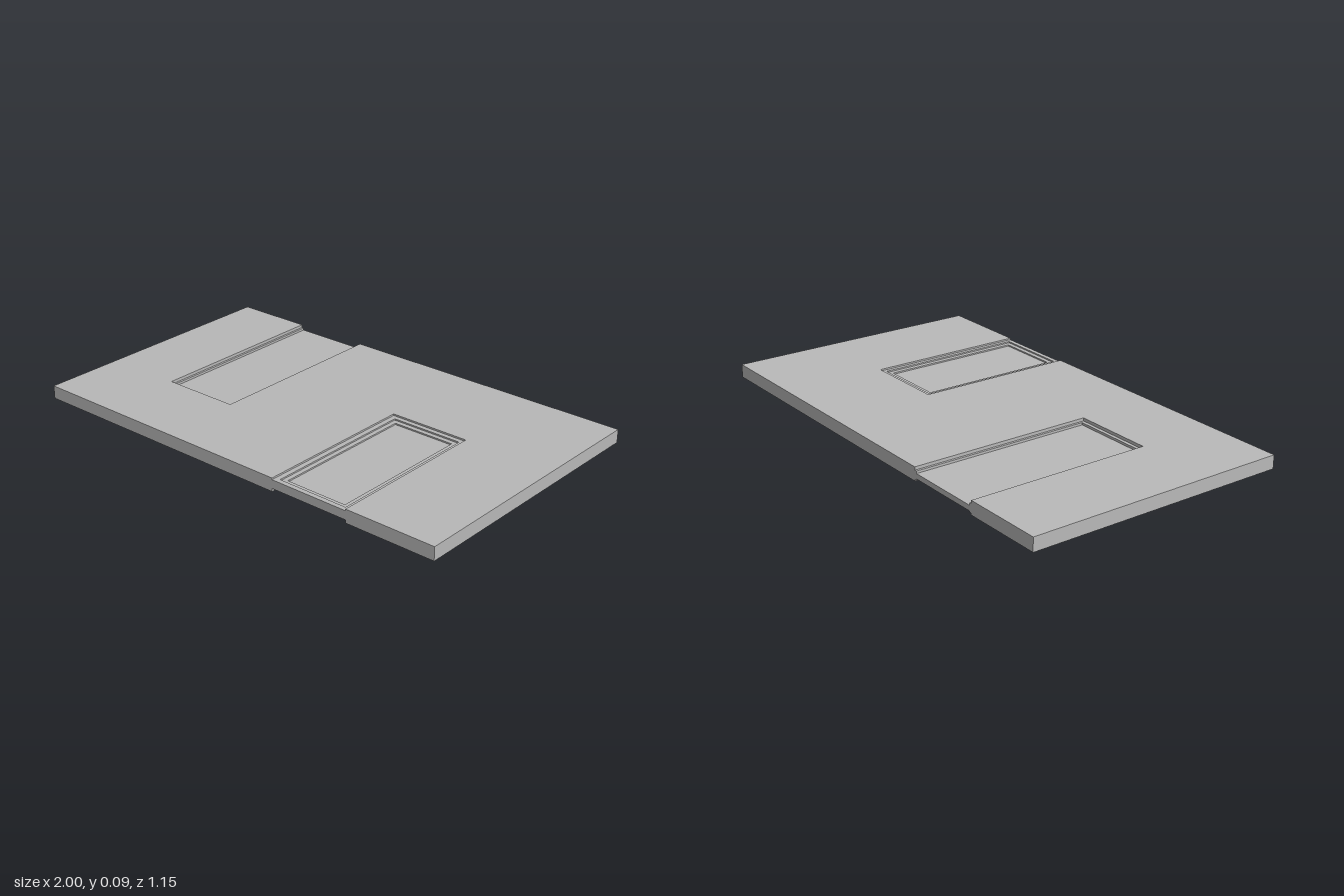
import * as THREE from 'three';

const THICK = 0.057, SLOPE = 0.019, DEPTH = 0.575;

// Nested recesses: [x0, x1, z0, z1, inset from the top, inset from the bottom]
const recesses = {
  frontPanel: [
    [0.25, 0.605, -0.125, DEPTH, 0.007, 0.013],
    [0.272, 0.588, -0.105, 0.555, 0.013, 0.018],
    [0.292, 0.568, -0.085, 0.535, 0.019, 0.024],
  ],
  backPanel: [
    [-0.655, -0.31, -DEPTH, 0.23, 0.013, 0.007],
    [-0.645, -0.32, -DEPTH, 0.215, 0.023, 0.012],
  ],
};

const unique = (values) => [...new Set(values)].sort((a, b) => a - b);

export function createModel() {
  const group = new THREE.Group();
  const grey = new THREE.MeshStandardMaterial({ color: 0xb8b8b8 });
  grey.name = 'plain grey';

  const rects = Object.values(recesses).flat();
  const xs = unique([-1, 1, ...rects.flatMap((r) => [r[0], r[1]])]);
  const zs = unique([-DEPTH, DEPTH, ...rects.flatMap((r) => [r[2], r[3]])]);

  // Part name and levels of one grid cell
  const cellAt = (i, k) => {
    if (i < 0 || k < 0 || i >= xs.length - 1 || k >= zs.length - 1) return null;
    const x = (xs[i] + xs[i + 1]) / 2, z = (zs[k] + zs[k + 1]) / 2;
    const cell = { part: 'slab', top: THICK, bottom: 0 };
    for (const [part, list] of Object.entries(recesses)) {
      for (const [x0, x1, z0, z1, t, b] of list) {
        if (x > x0 && x < x1 && z > z0 && z < z1) {
          Object.assign(cell, { part, top: THICK - t, bottom: b });
        }
      }
    }
    return cell;
  };

  const positions = { slab: [], frontPanel: [], backPanel: [] };
  // Four corners, counter-clockwise from outside, on the slight slope
  const quad = (part, corners) => {
    for (const n of [0, 1, 2, 0, 2, 3]) {
      const [x, y, z] = corners[n];
      positions[part].push(x, y + SLOPE * (x + 1), z);
    }
  };

  for (let i = 0; i < xs.length - 1; i++) {
    for (let k = 0; k < zs.length - 1; k++) {
      const { part, top, bottom } = cellAt(i, k);
      const [x0, x1, z0, z1] = [xs[i], xs[i + 1], zs[k], zs[k + 1]];
      const ring = [[x0, z1], [x1, z1], [x1, z0], [x0, z0]];
      // Upper and lower faces
      quad(part, ring.map(([x, z]) => [x, top, z]));
      quad(part, ring.map(([x, z]) => [x, bottom, z]).reverse());
      // Rim faces and step walls towards the front, right, back and left
      [[0, 1], [1, 0], [0, -1], [-1, 0]].forEach(([di, dk], side) => {
        const p = ring[side], q = ring[(side + 1) % 4];
        const wall = (lo, hi) => {
          if (hi - lo > 1e-6) {
            quad(part, [[p[0], lo, p[1]], [q[0], lo, q[1]], [q[0], hi, q[1]], [p[0], hi, p[1]]]);
          }
        };
        const next = cellAt(i + di, k + dk);
        if (!next) wall(bottom, top);
        else {
          wall(next.top, top);
          wall(bottom, next.bottom);
        }
      });
    }
  }

  for (const [name, list] of Object.entries(positions)) {
    const geometry = new THREE.BufferGeometry();
    geometry.setAttribute('position', new THREE.Float32BufferAttribute(list, 3));
    geometry.computeVertexNormals();
    const mesh = new THREE.Mesh(geometry, grey);
    mesh.name = name;
    group.add(mesh);
  }
  return group;
}
